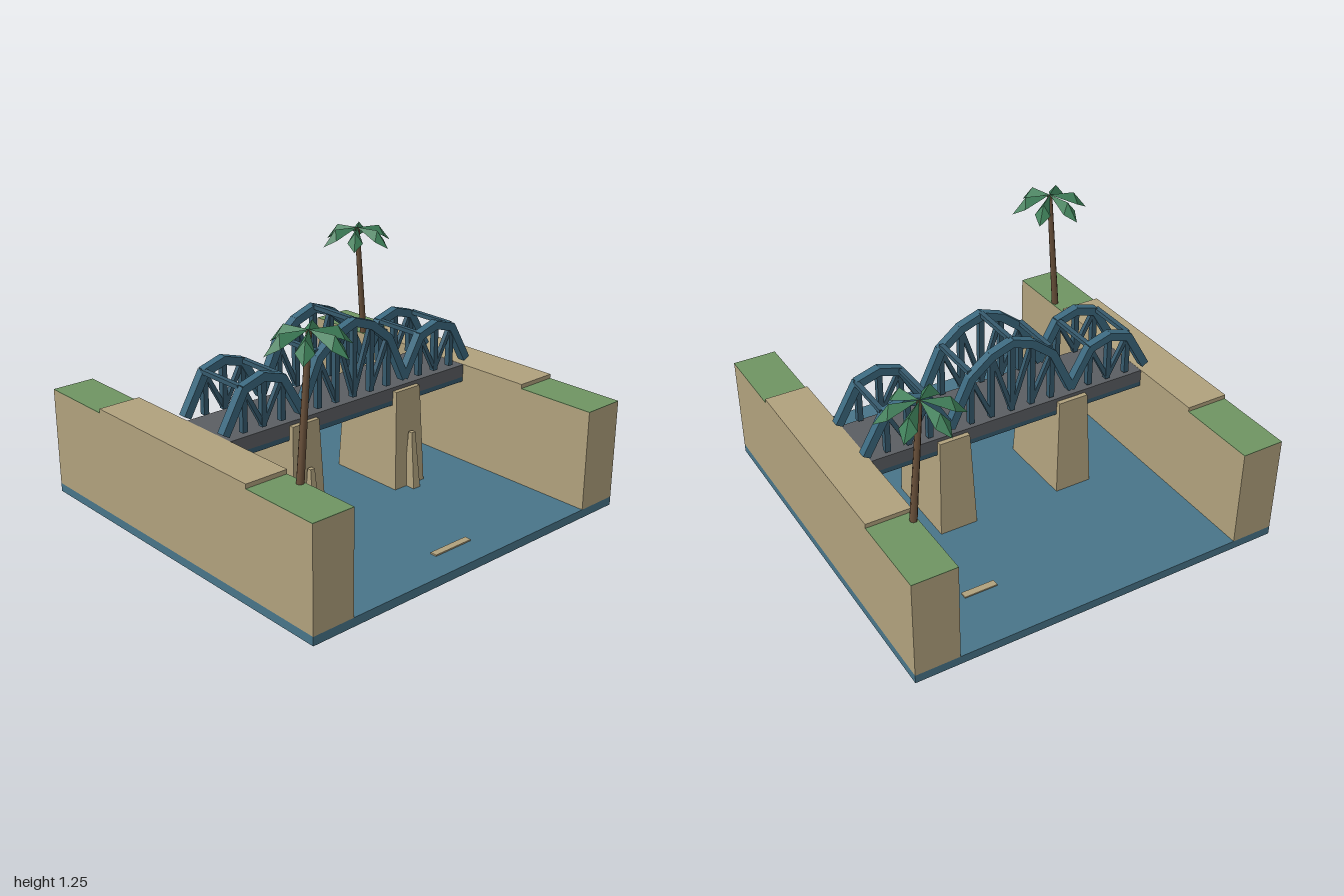
import * as THREE from 'three';

const mat = (name, color, extra = {}) => {
  const m = new THREE.MeshStandardMaterial({ color, ...extra });
  m.name = name;
  return m;
};

export function createModel() {
  const root = new THREE.Group();
  root.name = 'riverBridge';
  const water = mat('water blue', 0x487488);
  const sand = mat('sandstone', 0xb0a17d);
  const grass = mat('grass green', 0x6f9462);
  const road = mat('road grey', 0x5b5e62);
  const steel = mat('steel blue', 0x3b687e);
  const darkSteel = mat('dark steel blue', 0x365a6d);
  const bark = mat('bark brown', 0x69503a);
  const leaf = mat('palm green', 0x3c7d57, { flatShading: true, side: THREE.DoubleSide });

  const add = (parent, name, geo, material) => {
    const m = new THREE.Mesh(geo, material);
    m.name = name;
    parent.add(m);
    return m;
  };
  // box given by its minimum and maximum corners
  const box = (parent, name, a, b, material) => {
    const m = add(parent, name, new THREE.BoxGeometry(b[0] - a[0], b[1] - a[1], b[2] - a[2]), material);
    m.position.set((a[0] + b[0]) / 2, (a[1] + b[1]) / 2, (a[2] + b[2]) / 2);
  };
  // box whose top is a different size: sizes are [x, z]
  const taper = (parent, name, bottom, top, y0, y1, x, z, zTopShift, material) => {
    const geo = new THREE.BoxGeometry(1, y1 - y0, 1);
    const p = geo.attributes.position;
    for (let i = 0; i < p.count; i++) {
      const up = p.getY(i) > 0, s = up ? top : bottom;
      p.setX(i, p.getX(i) * s[0]);
      p.setZ(i, p.getZ(i) * s[1] + (up ? zTopShift : 0));
    }
    geo.computeVertexNormals();
    add(parent, name, geo, material).position.set(x, (y0 + y1) / 2, z);
  };

  // river and banks
  box(root, 'water', [-1, 0, -1], [1, 0.045, 1], water);
  for (const s of [-1, 1]) {
    const bank = new THREE.Group();
    bank.name = s > 0 ? 'leftBank' : 'rightBank';
    root.add(bank);
    const x0 = s > 0 ? 0.772 : -1, x1 = s > 0 ? 1 : -0.772;
    box(bank, 'bankWall', [x0, 0.045, -1], [x1, 0.565, 1], sand);
    box(bank, 'approachRoad', [x0, 0.565, -0.57], [x1, 0.59, 0.57], sand);
    box(bank, 'frontGrass', [x0, 0.565, 0.57], [x1, 0.568, 1], grass);
    box(bank, 'backGrass', [x0, 0.565, -1], [x1, 0.568, -0.57], grass);
  }

  // sandbars just above the water
  for (const [x0, x1, z] of [[-0.625, -0.455, 0.586], [-0.12, 0.115, 0.836], [0.395, 0.57, -0.664]])
    box(root, 'sandbar', [x0, 0.044, z - 0.018], [x1, 0.052, z + 0.018], sand);

  // piers with a slim tapering cutwater on the front
  for (const x of [-0.34, 0.34]) {
    taper(root, 'pier', [0.205, 0.435], [0.165, 0.385], 0.045, 0.57, x, 0, 0, sand);
    taper(root, 'cutwater', [0.046, 0.07], [0.026, 0.024], 0.045, 0.345, x, 0.236, -0.01, sand);
  }

  // deck running into both banks, with girders below
  box(root, 'deck', [-0.998, 0.52, -0.168], [0.998, 0.589, 0.168], road);
  for (const z of [-0.148, 0.148])
    box(root, 'girder', [-0.78, 0.495, z - 0.02], [0.78, 0.521, z + 0.02], darkSteel);

  // beam between two points in an upright plane
  const beam = (parent, name, a, b, z, thick, depth, extra, material) => {
    const dx = b[0] - a[0], dy = b[1] - a[1];
    const m = add(parent, name, new THREE.BoxGeometry(Math.hypot(dx, dy) + extra, thick, depth), material);
    m.position.set((a[0] + b[0]) / 2, (a[1] + b[1]) / 2, z);
    m.rotation.z = Math.atan2(dy, dx);
  };

  // three arches, each with chord nodes listed left to right
  const sideArch = c => [[-0.225, 0.625], [-0.113, 0.818], [0, 0.852], [0.113, 0.818], [0.225, 0.625]]
    .map(([x, y]) => [x + c, y]);
  const arches = [
    sideArch(-0.567),
    [[-0.342, 0.625], [-0.228, 0.86], [-0.114, 0.95], [0, 0.99], [0.114, 0.95], [0.228, 0.86], [0.342, 0.625]],
    sideArch(0.567),
  ];
  const low = 0.61;
  for (const z of [-0.148, 0.148]) {
    const truss = new THREE.Group();
    truss.name = z > 0 ? 'frontTruss' : 'backTruss';
    root.add(truss);
    for (const pts of arches) {
      const mid = (pts.length - 1) / 2;
      for (let i = 0; i < pts.length - 1; i++)
        beam(truss, 'archChord', pts[i], pts[i + 1], z, 0.042, 0.044, 0.012, steel);
      for (let i = 1; i < pts.length - 1; i++) {
        beam(truss, 'hanger', [pts[i][0], low - 0.005], pts[i], z, 0.028, 0.03, 0, darkSteel);
        // diagonals lean down towards the middle of the arch
        if (i !== mid)
          beam(truss, 'diagonal', pts[i], [pts[i + Math.sign(mid - i)][0], low], z, 0.022, 0.024, 0, darkSteel);
      }
    }
  }
  // cross ties between the trusses
  for (const [x, y] of [[0, 1], [0.225, 0.886], [0.453, 0.826], [0.69, 0.826]])
    for (const s of x ? [-1, 1] : [1])
      box(root, 'crossTie', [s * x - 0.013, y - 0.011, -0.14], [s * x + 0.013, y + 0.011, 0.14], darkSteel);

  // folded kite-shaped frond pointing along +x
  const frondGeo = new THREE.BufferGeometry();
  const R = [0, 0, 0], M = [0.132, 0, 0], T = [0.204, -0.092, 0];
  const A = [0.146, -0.055, 0.042], B = [0.146, -0.055, -0.042];
  frondGeo.setAttribute('position', new THREE.Float32BufferAttribute(
    [R, A, M, M, A, T, R, M, B, M, T, B].flat(), 3));
  frondGeo.computeVertexNormals();

  const palm = (name, foot, top) => {
    const g = new THREE.Group();
    g.name = name;
    root.add(g);
    const a = new THREE.Vector3(...foot), b = new THREE.Vector3(...top);
    const dir = b.clone().sub(a);
    const trunk = add(g, 'trunk', new THREE.CylinderGeometry(0.014, 0.019, dir.length() - 0.01, 7), bark);
    trunk.position.copy(a).add(b).multiplyScalar(0.5);
    trunk.quaternion.setFromUnitVectors(new THREE.Vector3(0, 1, 0), dir.normalize());
    for (let i = 0; i < 6; i++) {
      const f = add(g, 'frond', frondGeo, leaf);
      f.position.copy(b);
      f.rotation.y = -(17 + i * 60) * Math.PI / 180;
    }
  };
  palm('frontPalm', [-0.793, 0.56, 0.68], [-0.738, 1.246, 0.68]);
  palm('backPalm', [0.793, 0.56, -0.627], [0.74, 1.188, -0.627]);

  return root;
}
